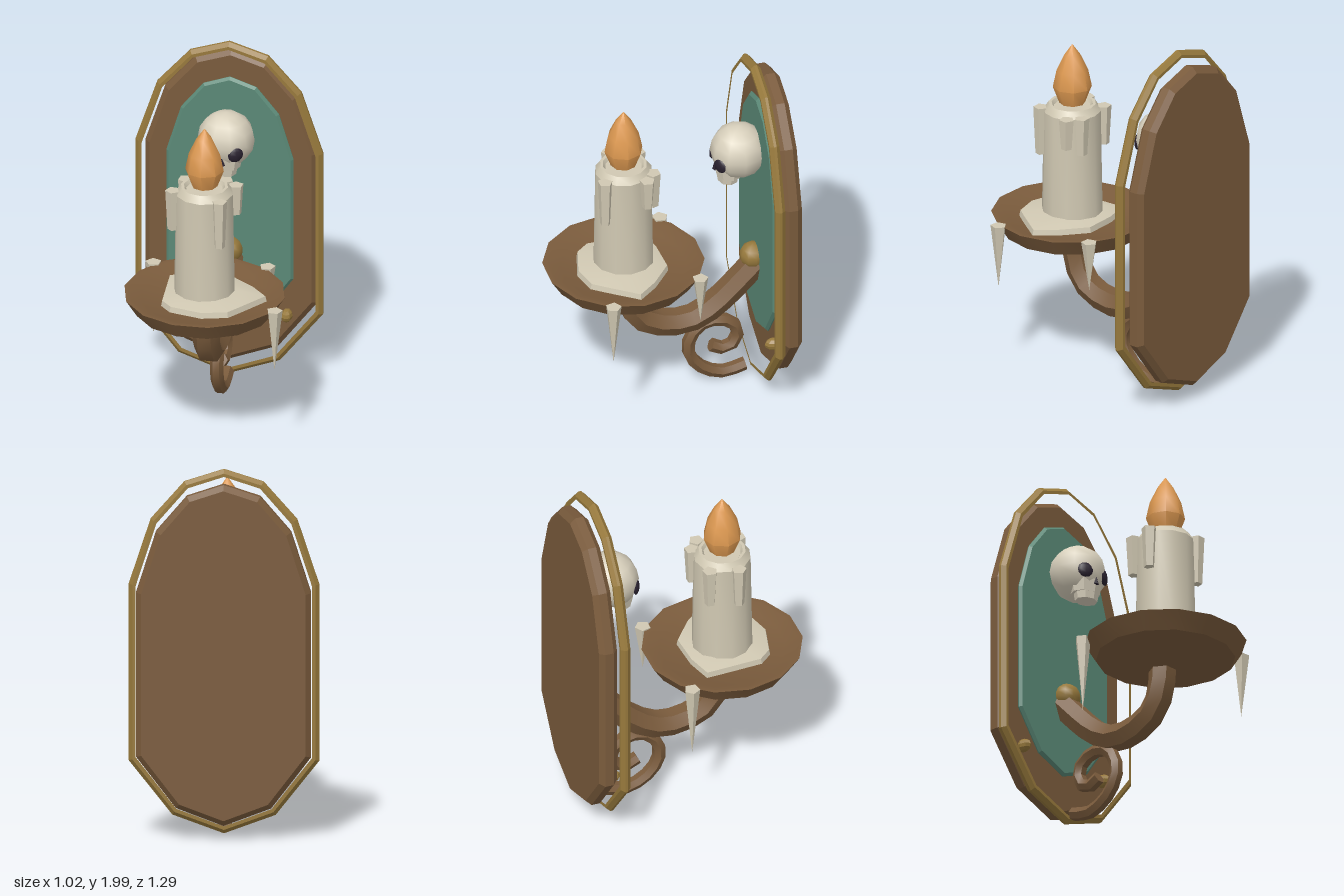
import * as THREE from 'three';
import { toCreasedNormals } from 'three/addons/utils/BufferGeometryUtils.js';

const mat = (name, color) => {
  const m = new THREE.MeshStandardMaterial({ color });
  m.name = name;
  return m;
};

export function createModel() {
  const wood = mat('brown wood', 0x7a5b3c);
  const gold = mat('old gold', 0x97793c);
  const teal = mat('teal panel', 0x5a8876);
  const wax = mat('cream wax', 0xd0c8b2);
  const bone = mat('bone', 0xd8d0bc);
  const fire = mat('flame orange', 0xdc9850);
  const dark = mat('dark socket', 0x2a2230);

  const model = new THREE.Group();
  model.name = 'candleSconce';

  const add = (name, geo, material, pos = [0, 0, 0], crease = 0.6, parent = model) => {
    const mesh = new THREE.Mesh(toCreasedNormals(geo, crease), material);
    mesh.name = name;
    mesh.position.set(...pos);
    parent.add(mesh);
    return mesh;
  };
  const V2 = (pts) => pts.map(([x, y]) => new THREE.Vector2(x, y));
  const lathe = (pts, n) => new THREE.LatheGeometry(V2(pts), n).rotateY(Math.PI / 2);

  // Twelve-sided elongated outline shared by the backboard, panel and frame
  const half = [[0, 1], [0.41, 0.967], [0.765, 0.866], [1, 0.687], [1, 0.197], [0.54, 0.05], [0, 0]];
  const outline = (w, y0, y1) => {
    const right = half.map(([x, y]) => [x * w, y0 + y * (y1 - y0)]);
    const left = right.slice(1, -1).reverse().map(([x, y]) => [-x, y]);
    return V2([...right, ...left]);
  };
  const slab = (shape, depth, bevel) => new THREE.ExtrudeGeometry(shape, {
    depth, bevelEnabled: true, bevelThickness: bevel, bevelSize: bevel, bevelSegments: 1,
  }).translate(0, 0, bevel);

  add('backboard', slab(new THREE.Shape(outline(0.44, 0.11, 1.9)), 0.047, 0.028), wood, [0, 0, -0.648], 0.2);
  add('insetPanel', slab(new THREE.Shape(outline(0.332, 0.325, 1.765)), 0.004, 0.014), teal, [0, 0, -0.548], 0.2);
  const ring = new THREE.Shape(outline(0.49, 0.045, 1.978));
  ring.holes.push(new THREE.Path(outline(0.472, 0.064, 1.96)));
  add('frame', slab(ring, 0.015, 0.02), gold, [0, 0, -0.542], 0.2);

  // Studs and the boss where the arm meets the panel
  for (const s of [-1, 1]) {
    add('stud', new THREE.SphereGeometry(0.036, 8, 6).scale(0.88, 1, 1.4), gold, [s * 0.31, 0.385, -0.528], 0.3);
  }
  add('armBoss', new THREE.SphereGeometry(0.075, 10, 7), gold, [0, 0.765, -0.5], 0.8);

  // Hexagonal bars following [z, y] paths, capped at both ends
  const bar = (name, path, r, segments) => {
    const curve = new THREE.CatmullRomCurve3(path.map(([z, y]) => new THREE.Vector3(0, y, z)));
    const group = new THREE.Group();
    group.name = name;
    add(name + 'Bar', new THREE.TubeGeometry(curve, segments, r, 6), wood, [0, 0, 0], 0.6, group);
    for (const t of [0, 1]) {
      const p = curve.getPointAt(t);
      const dir = curve.getTangentAt(t).multiplyScalar(t ? 1 : -1);
      const cap = add(name + 'End', new THREE.CircleGeometry(r, 6), wood, p.toArray(), 0.6, group);
      cap.lookAt(p.clone().add(dir));
    }
    model.add(group);
  };
  bar('arm', [[0.2, 0.73], [0.18, 0.57], [0.115, 0.47], [0, 0.418], [-0.14, 0.412],
    [-0.27, 0.475], [-0.487, 0.685], [-0.53, 0.73]], 0.075, 11);
  bar('scroll', [[-0.455, 0.063], [-0.33, 0.036], [-0.21, 0.09], [-0.143, 0.19], [-0.153, 0.296],
    [-0.222, 0.37], [-0.31, 0.38], [-0.39, 0.34], [-0.413, 0.275], [-0.386, 0.21],
    [-0.328, 0.19], [-0.265, 0.22]], 0.037, 16);

  // Dish
  const cz = 0.22;
  add('dish', lathe([[0, 0.7], [0.13, 0.7], [0.375, 0.765], [0.435, 0.86], [0.405, 0.86],
    [0.34, 0.832], [0, 0.828]], 14), wood, [0, 0, cz], 0.48);

  // Spilled wax: uneven edge rising to the candle foot
  const edge = [[-0.225, 0.05], [-0.08, 0.01], [0.11, 0], [0.25, 0.11], [0.34, 0.215],
    [0.215, 0.39], [0.17, 0.45], [0.03, 0.486], [-0.15, 0.44], [-0.21, 0.37]];
  const levels = [[1, 0.825], [0.97, 0.862], [0.6, 0.882], [0, 0.884]];
  const pos = [], idx = [], n = edge.length;
  levels.forEach(([k, y]) => edge.forEach(([x, z]) => pos.push(x * k, y, cz + (z - cz) * k)));
  for (let l = 0; l < levels.length - 1; l++) {
    for (let i = 0; i < n; i++) {
      const a = l * n + i, b = l * n + (i + 1) % n;
      idx.push(a, a + n, b, b, a + n, b + n);
    }
  }
  const puddle = new THREE.BufferGeometry();
  puddle.setAttribute('position', new THREE.Float32BufferAttribute(pos, 3));
  puddle.setIndex(idx);
  add('waxPuddle', puddle, wax, [0, 0, 0], 0.3);

  // Candle with a shallow well, and flame
  add('candle', lathe([[0.165, 0.85], [0.155, 1.455], [0.128, 1.495], [0.112, 1.495],
    [0.1, 1.475], [0, 1.475]], 12), wax, [0, 0, cz], 0.56);
  add('flame', lathe([[0, 1.49], [0.07, 1.497], [0.105, 1.59], [0.085, 1.685],
    [0.043, 1.775], [0, 1.835]], 8), fire, [0, 0, cz], 0.85);

  // Wax runs down the candle: x, z, lower end
  for (const [x, z, y] of [[-0.125, 0.105, 1.25], [-0.165, 0.255, 1.24], [0.105, 0.35, 1.2],
    [0.155, 0.13, 1.3], [0.09, 0.08, 1.26]]) {
    const h = 1.47 - y;
    const run = add('waxRun', new THREE.CylinderGeometry(0.042, 0.03, h, 5), wax, [x, y + h / 2, z], 0.3);
    run.rotation.y = Math.atan2(x, z - cz);
  }

  // Hardened drips hanging from the rim: x, z, tip
  for (const [x, z, y] of [[-0.332, -0.075, 0.44], [0.278, -0.13, 0.59], [0.412, 0.39, 0.51]]) {
    const h = 0.868 - y;
    const drip = add('hangingDrip', new THREE.ConeGeometry(0.044, h, 5).rotateX(Math.PI), wax,
      [x, y + h / 2, z], 0.3);
    drip.rotation.y = Math.atan2(x, z - cz);
  }

  // Skull ornament
  const skull = new THREE.Group();
  skull.name = 'skull';
  model.add(skull);
  add('cranium', new THREE.SphereGeometry(0.155, 10, 8), bone, [0, 1.467, -0.42], 0.8, skull);
  add('upperJaw', new THREE.CylinderGeometry(0.1, 0.085, 0.07, 8).scale(1, 1, 0.85), bone,
    [0, 1.362, -0.37], 0.3, skull);
  add('teeth', new THREE.CylinderGeometry(0.075, 0.065, 0.05, 8).scale(1, 1, 0.85), bone,
    [0, 1.313, -0.36], 0.3, skull);
  for (const s of [-1, 1]) {
    const eye = add('eyeSocket', new THREE.SphereGeometry(0.043, 8, 6).scale(1, 1, 0.4), dark,
      [s * 0.073, 1.432, -0.297], 0.8, skull);
    eye.rotation.y = s * 0.5;
  }
  add('noseHole', new THREE.ConeGeometry(0.02, 0.045, 4).scale(1, 1, 0.6), dark, [0, 1.39, -0.285], 0.3, skull);

  return model;
}
